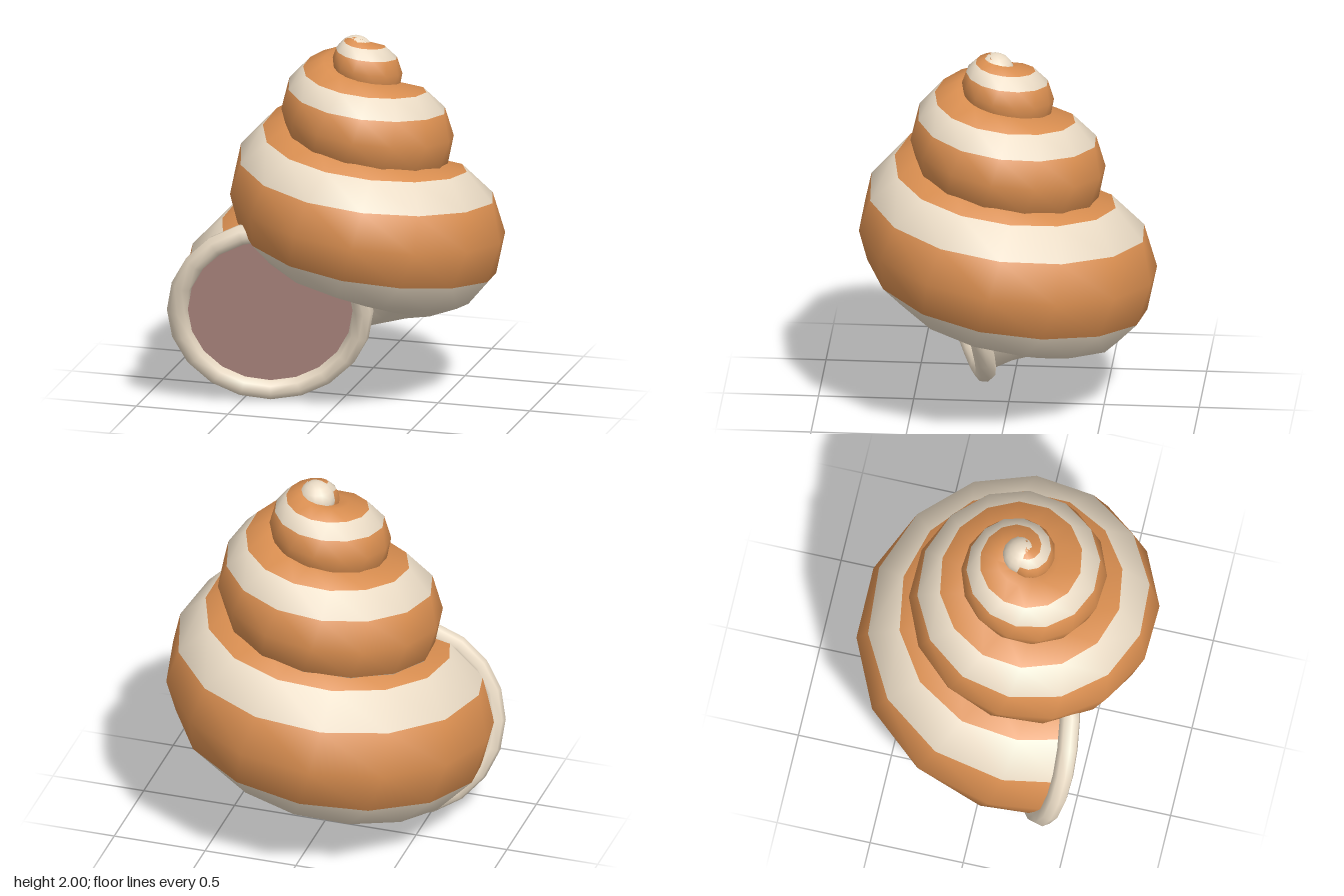
import * as THREE from 'three';

const STEPS = 14;        // rings per turn
const SIDES = 12;        // corners of each ring
const FIRST = -7, LAST = 36;
const AXIS_X = 0.065, AXIS_Z = 0.067;
const deg = THREE.MathUtils.degToRad;

// Centre, radius and tilted frame of one ring along the descending spiral
function ringAt(k) {
  const t = k / STEPS;
  const phi = t * Math.PI * 2 + deg(4.3);
  const rho = 0.07 + 0.15 * t;
  const radius = 0.165 + 0.125 * t;
  const y = 1.46 - 0.44 * (t - 1) - 0.095 * (t - 1) ** 2;
  const slope = 0.44 + 0.19 * (t - 1);
  const tilt = Math.atan(slope / (2 * Math.PI * Math.max(rho, 0.1)));
  const turn = phi - deg(k === LAST ? 15 : 4); // the mouth opens towards the front
  const center = new THREE.Vector3(AXIS_X + rho * Math.cos(phi), y, AXIS_Z - rho * Math.sin(phi));
  const out = new THREE.Vector3(Math.cos(turn), 0, -Math.sin(turn));
  const up = new THREE.Vector3(
    -Math.sin(turn) * Math.sin(tilt), Math.cos(tilt), -Math.cos(turn) * Math.sin(tilt));
  return { center, radius, out, up };
}

// Coiled tube, split into brown bands and cream base that share smooth normals
function shellGeometries() {
  const positions = [], brown = [], cream = [];
  for (let k = FIRST; k <= LAST; k++) {
    const { center, radius, out, up } = ringAt(k);
    for (let j = 0; j < SIDES; j++) {
      const a = (j / SIDES) * Math.PI * 2;
      const p = center.clone()
        .addScaledVector(out, radius * Math.cos(a))
        .addScaledVector(up, radius * Math.sin(a));
      positions.push(p.x, p.y, p.z);
    }
  }
  const brownSides = [SIDES - 1, 0, 2, 3];
  for (let i = 0; i < LAST - FIRST; i++) {
    for (let j = 0; j < SIDES; j++) {
      const n = (j + 1) % SIDES;
      const a = i * SIDES + j, d = i * SIDES + n;
      const b = a + SIDES, c = d + SIDES;
      (brownSides.includes(j) ? brown : cream).push(a, b, d, b, c, d);
    }
  }
  const whole = new THREE.BufferGeometry();
  whole.setAttribute('position', new THREE.Float32BufferAttribute(positions, 3));
  whole.setIndex([...brown, ...cream]);
  whole.computeVertexNormals();
  return [brown, cream].map((index) => {
    const g = whole.clone();
    g.setIndex(index);
    return g;
  });
}

export function createModel() {
  const group = new THREE.Group();
  group.name = 'snailShell';
  const material = (color) => new THREE.MeshStandardMaterial({ color, side: THREE.DoubleSide });
  const brownMat = material(0xd98e50);
  const creamMat = material(0xeadbc5);
  const pinkMat = material(0xb88f88);
  const add = (parent, name, geometry, mat) => {
    const mesh = new THREE.Mesh(geometry, mat);
    mesh.name = name;
    parent.add(mesh);
    return mesh;
  };

  // Whorls
  const [bands, base] = shellGeometries();
  add(group, 'brownBands', bands, brownMat);
  add(group, 'creamWhorls', base, creamMat);

  // Rounded tip closing the start of the coil
  const start = ringAt(FIRST);
  add(group, 'apex', new THREE.SphereGeometry(start.radius * 0.98, 14, 10), creamMat)
    .position.copy(start.center);

  // Mouth: rolled lip and the inner wall, set in the plane of the last ring
  const end = ringAt(LAST);
  const mouth = new THREE.Group();
  mouth.name = 'mouth';
  const normal = new THREE.Vector3().crossVectors(end.out, end.up);
  mouth.quaternion.setFromRotationMatrix(new THREE.Matrix4().makeBasis(end.out, end.up, normal));
  mouth.position.copy(end.center);
  add(mouth, 'lip', new THREE.TorusGeometry(end.radius, 0.055, 8, 20), creamMat);
  add(mouth, 'innerWall', new THREE.CircleGeometry(end.radius, 20), pinkMat);
  group.add(mouth);

  return group;
}
